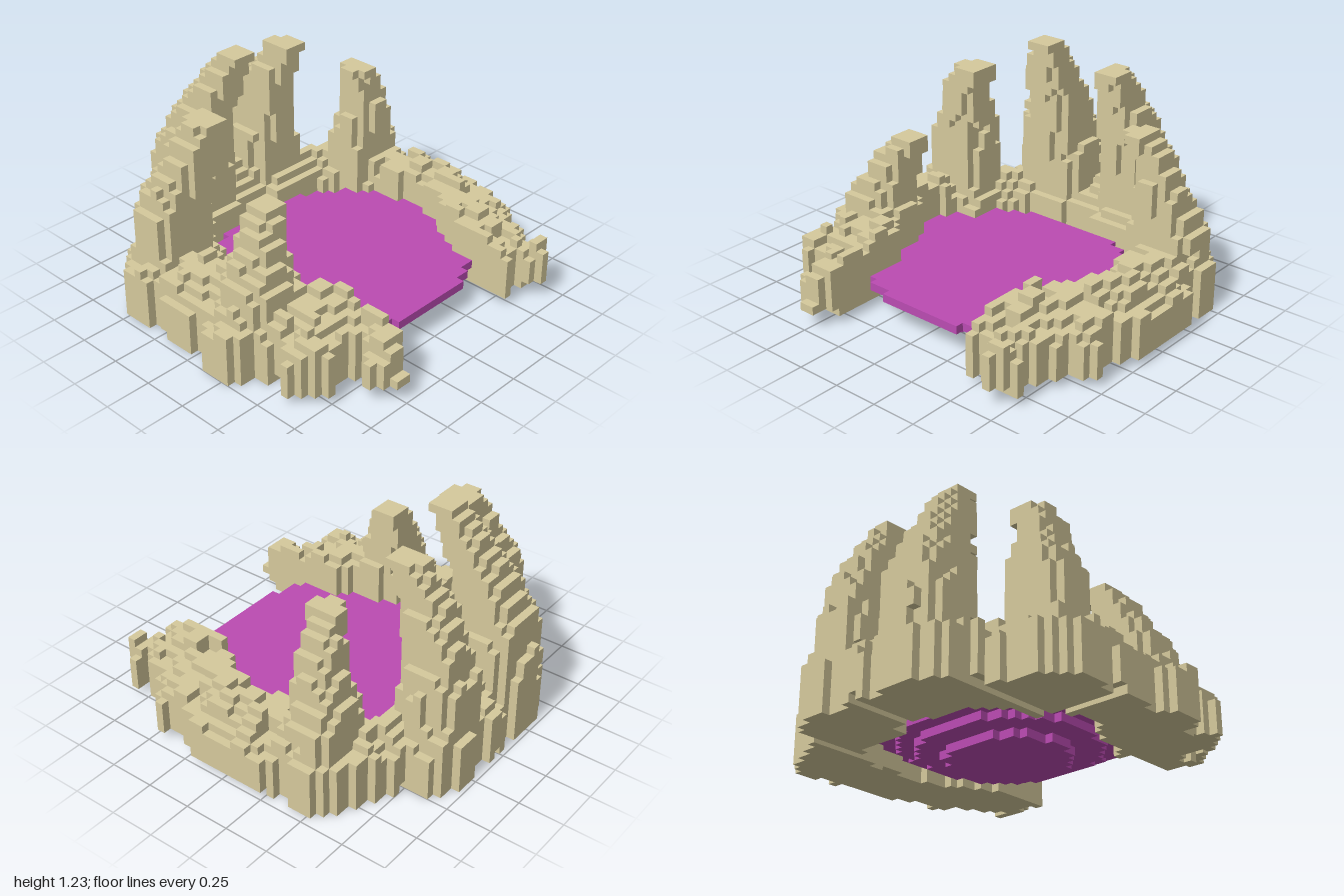
import * as THREE from 'three';

const S = 1 / 22, NX = 44, NY = 27, NZ = 43; // cube size and grid counts

// plan of the rock ring: outer edge from the +x tip round the back to the -x tip, then the inner edge back
const outer = [[0.45, 0.84], [0.5, 0.84], [0.55, 0.79], [0.6, 0.84], [0.63, 0.93], [0.68, 0.93], [0.77, 0.83],
  [0.77, 0.79], [0.68, 0.79], [0.77, 0.66], [0.83, 0.54], [0.95, 0.48], [0.91, 0.36], [0.95, 0.22], [1, 0.2], [1, -0.25],
  [0.95, -0.25], [0.91, -0.35], [0.95, -0.4], [0.95, -0.53], [0.77, -0.64], [0.5, -0.76], [0.5, -0.89], [0.36, -0.94],
  [0.36, -0.98], [0.23, -0.98], [0.23, -0.94], [0.09, -0.94], [0.09, -0.98], [-0.05, -0.98], [-0.05, -0.93],
  [-0.14, -0.93], [-0.14, -0.98], [-0.36, -0.98], [-0.36, -0.93], [-0.5, -0.89], [-0.5, -0.76], [-0.64, -0.68],
  [-0.77, -0.66], [-0.95, -0.53], [-0.95, -0.39], [-0.9, -0.3], [-0.95, -0.25], [-0.95, -0.07], [-0.9, 0],
  [-1, 0.16], [-1, 0.29], [-0.86, 0.37], [-0.82, 0.48], [-0.91, 0.58], [-0.86, 0.66], [-0.77, 0.74], [-0.59, 0.7],
  [-0.55, 0.79], [-0.64, 0.84], [-0.64, 0.88], [-0.55, 0.93], [-0.55, 0.98], [-0.5, 0.98], [-0.41, 0.88]];
const inner = [[-0.41, 0.43], [-0.5, 0.34], [-0.5, 0.24], [-0.56, 0.07], [-0.63, 0.03], [-0.63, -0.12], [-0.58, -0.26],
  [-0.46, -0.27], [-0.46, -0.42], [-0.33, -0.54], [-0.23, -0.58], [-0.1, -0.58], [-0.1, -0.61], [0.14, -0.61],
  [0.14, -0.53], [0.45, -0.53], [0.55, -0.4], [0.62, -0.25], [0.65, -0.1], [0.68, 0.07], [0.63, 0.22],
  [0.55, 0.34], [0.5, 0.43], [0.45, 0.52]];

// leaning spires as rows of: height, x min, x max, z min, z max
const spires = [
  [[0.45, -0.44, -0.05, -0.95, -0.61], [0.65, -0.41, -0.08, -0.92, -0.6], [0.87, -0.35, -0.1, -0.81, -0.55],
    [1.05, -0.3, -0.1, -0.7, -0.49], [1.16, -0.24, -0.1, -0.6, -0.47], [1.23, -0.23, -0.09, -0.57, -0.43]],
  [[0.45, 0.1, 0.44, -0.93, -0.61], [0.65, 0.13, 0.38, -0.9, -0.6], [0.93, 0.14, 0.34, -0.77, -0.54],
    [1.05, 0.18, 0.32, -0.7, -0.5], [1.14, 0.18, 0.32, -0.62, -0.48]],
  [[0.45, -0.87, -0.51, -0.58, -0.3], [0.66, -0.81, -0.52, -0.56, -0.3], [0.8, -0.73, -0.51, -0.48, -0.25],
    [0.95, -0.67, -0.5, -0.44, -0.25], [0.96, -0.66, -0.45, -0.43, -0.25], [1.05, -0.6, -0.45, -0.41, -0.25]],
  [[0.41, 0.55, 0.89, -0.57, -0.28], [0.75, 0.59, 0.76, -0.48, -0.28], [0.87, 0.55, 0.69, -0.44, -0.28],
    [0.96, 0.5, 0.64, -0.41, -0.27]],
  [[0.42, -0.86, -0.55, 0.07, 0.38], [0.66, -0.71, -0.55, 0.07, 0.25], [0.7, -0.68, -0.5, 0.07, 0.23],
    [0.78, -0.63, -0.49, 0.07, 0.21]],
];

// repeatable noise from 0 to 1
function hash(a, b, c = 0) {
  const n = Math.sin(a * 127.1 + b * 311.7 + c * 74.7) * 43758.5453;
  return n - Math.floor(n);
}

function inside(x, z, poly) {
  let hit = false;
  for (let a = 0, b = poly.length - 1; a < poly.length; b = a++) {
    const [ax, az] = poly[a], [bx, bz] = poly[b];
    if ((az > z) !== (bz > z) && x < ((bx - ax) * (z - az)) / (bz - az) + ax) hit = !hit;
  }
  return hit;
}

function distance(x, z, line) {
  let best = 9;
  for (let a = 0; a + 1 < line.length; a++) {
    const [ax, az] = line[a], dx = line[a + 1][0] - ax, dz = line[a + 1][1] - az;
    const t = THREE.MathUtils.clamp(((x - ax) * dx + (z - az) * dz) / (dx * dx + dz * dz), 0, 1);
    best = Math.min(best, Math.hypot(x - ax - t * dx, z - az - t * dz));
  }
  return best;
}

function inSpire(rows, x, y, z, rough) {
  if (y > rows[rows.length - 1][0]) return false;
  const n = rows.findIndex((r) => r[0] >= y);
  const lo = rows[Math.max(n - 1, 0)], hi = rows[n];
  const t = hi === lo ? 0 : (y - lo[0]) / (hi[0] - lo[0]);
  const [x0, x1, z0, z1] = [1, 2, 3, 4].map((m) => THREE.MathUtils.lerp(lo[m], hi[m], t));
  const u = Math.abs((2 * x - x0 - x1) / (x1 - x0)), v = Math.abs((2 * z - z0 - z1) / (z1 - z0));
  return u ** 3 + v ** 3 < 1 + rough;
}

// underside of the rock: the feet of the spires reach the ground, with grooves between them
function rockFloor(x, z) {
  if (z > 0.84) return 2 * S;
  const groove = Math.abs(z + 0.23) < 0.024 || (z < -0.2 && [-0.52, 0.02, 0.52].some((g) => Math.abs(x - g) < 0.024));
  return z > 0.43 || x > 0.955 || (x > 0.3 && z > -0.22) || groove ? S : 0;
}

// fill the grid: 1 rock, 2 pool
function fillGrid() {
  const grid = new Uint8Array(NX * NY * NZ);
  const ring = [...outer, ...inner];
  const poolRadius = [0.3, 0.44, 0.53, 0.625];
  for (let i = 0; i < NX; i++) for (let k = 0; k < NZ; k++) {
    const x = (i + 0.5 - NX / 2) * S, z = (k + 0.5 - NZ / 2) * S;
    const noise = hash(i >> 1, k >> 1) - 0.5;
    // ledges climb from the outer edge to a ridge, and step down to the pool at the back
    let top = 0;
    if (inside(x, z, ring)) {
      top = Math.min(0.37 + 0.08 * noise, 0.25 + 0.7 * distance(x, z, outer) + 0.1 * noise);
      if (z < -0.2) top = Math.min(top, 0.24 + 1.1 * distance(x, z, inner));
      if (z > 0.7) top = Math.min(top, 0.4 - 0.5 * (z - 0.7));
      if (z > 0.93) top = 3 * S;
    }
    const floor = rockFloor(x, z);
    const reach = (Math.abs(x - 0.02) / 1.06) ** 2.3 + Math.abs(z - 0.085) ** 2.3;
    for (let j = 0; j < NY; j++) {
      const y = (j + 0.5) * S;
      const rough = 0.5 * hash(i >> 1, k >> 1, j >> 2) - 0.12;
      let cell = 0;
      if (y > floor && y < top) cell = 1;
      else if (y > 0.18 && spires.some((rows) => inSpire(rows, x, y, z, rough))) cell = 1;
      else if (j < 4 && reach < poolRadius[j] ** 2.3) cell = 2;
      grid[(i * NY + j) * NZ + k] = cell;
    }
  }
  return grid;
}

// exposed cube faces of one kind of cell
function cubeMesh(grid, kind, name, material) {
  const at = (p) => (p[0] < 0 || p[1] < 0 || p[2] < 0 || p[0] >= NX || p[1] >= NY || p[2] >= NZ
    ? 0 : grid[(p[0] * NY + p[1]) * NZ + p[2]]);
  const pos = [], nor = [], index = [];
  for (let i = 0; i < NX; i++) for (let j = 0; j < NY; j++) for (let k = 0; k < NZ; k++) {
    const cell = [i, j, k];
    if (at(cell) !== kind) continue;
    for (let axis = 0; axis < 3; axis++) for (const side of [-1, 1]) {
      const normal = [0, 0, 0];
      normal[axis] = side;
      if (at(cell.map((c, n) => c + normal[n]))) continue;
      const b = (axis + 1) % 3, c = (axis + 2) % 3, first = pos.length / 3;
      for (const [u, v] of [[0, 0], [1, 0], [1, 1], [0, 1]]) {
        const p = [...cell];
        p[axis] += side > 0 ? 1 : 0;
        p[b] += u;
        p[c] += v;
        pos.push((p[0] - NX / 2) * S, p[1] * S, (p[2] - NZ / 2) * S);
        nor.push(...normal);
      }
      const order = side > 0 ? [0, 1, 2, 0, 2, 3] : [0, 2, 1, 0, 3, 2];
      index.push(...order.map((o) => first + o));
    }
  }
  const geometry = new THREE.BufferGeometry();
  geometry.setAttribute('position', new THREE.Float32BufferAttribute(pos, 3));
  geometry.setAttribute('normal', new THREE.Float32BufferAttribute(nor, 3));
  geometry.setIndex(index);
  const mesh = new THREE.Mesh(geometry, material);
  mesh.name = name;
  return mesh;
}

export function createModel() {
  const stone = new THREE.MeshStandardMaterial({ color: 0xd5c99c });
  stone.name = 'sandy stone';
  const liquid = new THREE.MeshStandardMaterial({ color: 0xbb4bb2 });
  liquid.name = 'purple liquid';
  const grid = fillGrid();
  const group = new THREE.Group();
  group.name = 'rockPool';
  group.add(cubeMesh(grid, 1, 'rockRingAndSpires', stone), cubeMesh(grid, 2, 'pool', liquid));
  return group;
}
